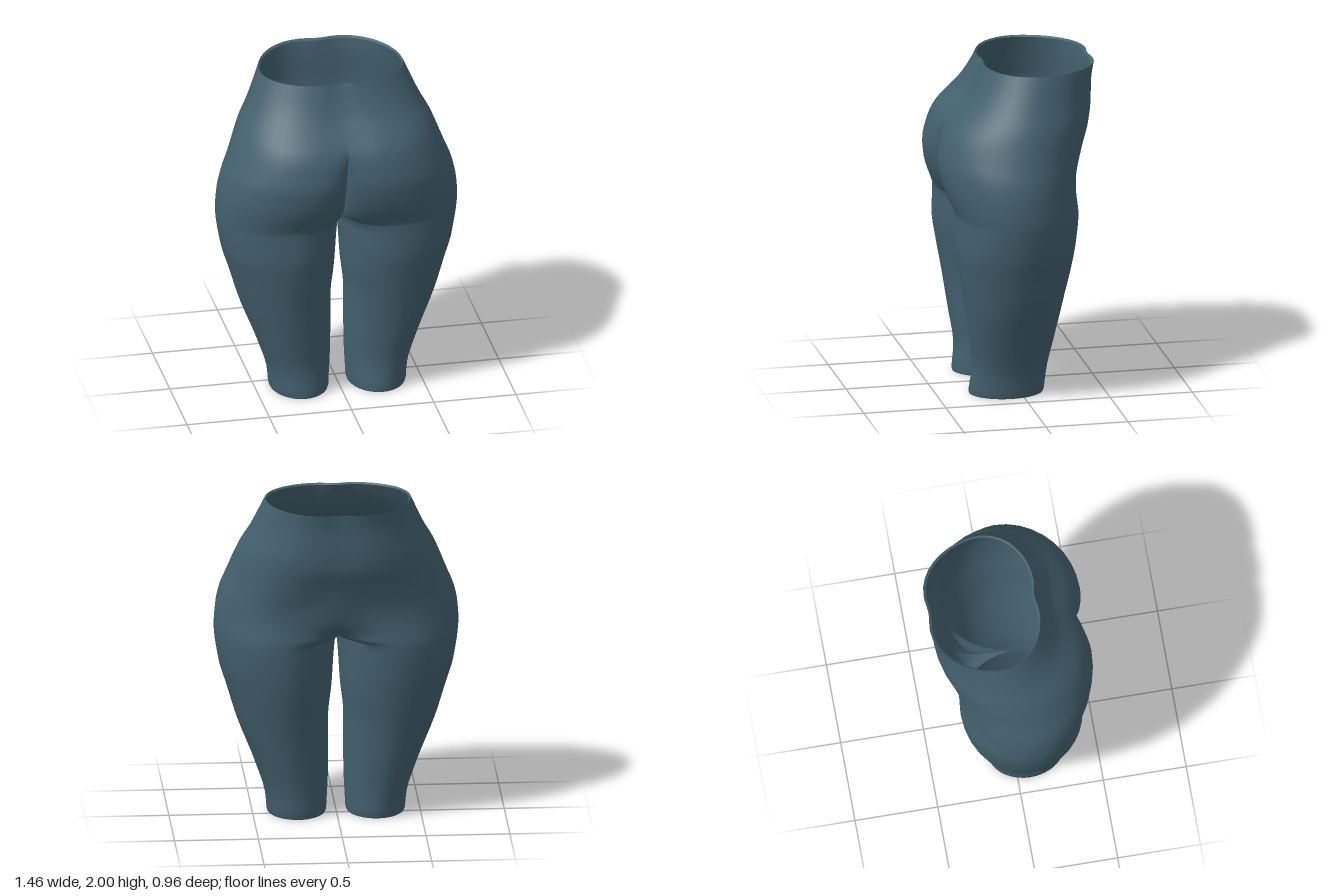
import * as THREE from 'three';
import { mergeVertices, toCreasedNormals } from 'three/addons/utils/BufferGeometryUtils.js';

const { lerp, smoothstep } = THREE.MathUtils;
const CROTCH = 1.13;
const SEG = 9; // segments per quarter of a half section

// Smooth curve through [height, value] keys without overshoot
function profile(keys) {
  const n = keys.length;
  const slope = (i) => (keys[i + 1][1] - keys[i][1]) / (keys[i + 1][0] - keys[i][0]);
  const tangent = (i) => {
    if (i === 0) return slope(0);
    if (i === n - 1) return slope(n - 2);
    const a = slope(i - 1), b = slope(i);
    return a * b <= 0 ? 0 : (2 * a * b) / (a + b);
  };
  return (y) => {
    let i = 0;
    while (i < n - 2 && y > keys[i + 1][0]) i++;
    const h = keys[i + 1][0] - keys[i][0];
    const t = Math.min(1, Math.max(0, (y - keys[i][0]) / h));
    const t2 = t * t, t3 = t2 * t;
    return (2 * t3 - 3 * t2 + 1) * keys[i][1] + (t3 - 2 * t2 + t) * h * tangent(i)
      + (3 * t2 - 2 * t3) * keys[i + 1][1] + (t3 - t2) * h * tangent(i + 1);
  };
}

// Outlines of one half of the body, by height
const outerX = profile([[0, 0.412], [0.1, 0.42], [0.3, 0.48], [0.6, 0.595], [0.8, 0.655], [0.95, 0.7],
  [1.18, 0.73], [1.3, 0.722], [1.4, 0.7], [1.5, 0.66], [1.7, 0.58], [1.8, 0.525], [2, 0.435]]);
const innerX = profile([[0, 0.058], [0.3, 0.045], [0.6, 0.045], [0.8, 0.025], [1, 0.012], [CROTCH, 0]]);
const frontZ = profile([[0, 0.305], [0.17, 0.287], [0.35, 0.31], [0.6, 0.345], [0.8, 0.38], [0.95, 0.4],
  [1.13, 0.396], [1.18, 0.412], [1.25, 0.442], [1.35, 0.47], [1.44, 0.48], [1.55, 0.46], [1.65, 0.42],
  [1.73, 0.35], [1.8, 0.285], [1.9, 0.225], [2, 0.183]]);
const backZ = profile([[0, -0.148], [0.17, -0.165], [0.35, -0.2], [0.6, -0.25], [0.8, -0.295], [0.95, -0.32],
  [1.12, -0.335], [1.27, -0.325], [1.35, -0.332], [1.5, -0.382], [1.65, -0.441], [1.75, -0.455], [1.9, -0.462], [2, -0.48]]);
const middleZ = profile([[0, 0.075], [CROTCH, 0.05], [1.4, 0.045], [1.7, -0.02], [2, -0.1]]);
const innerZ = profile([[0, 0.075], [CROTCH, 0.08]]);
const frontPeakX = profile([[0, 0.235], [0.6, 0.32], [CROTCH, 0.32], [1.25, 0.26], [1.4, 0.21], [1.7, 0.19], [2, 0.1]]);
const backPeakX = profile([[0, 0.235], [0.6, 0.32], [CROTCH, 0.33], [1.35, 0.27], [1.5, 0.18], [1.65, 0.11], [2, 0.11]]);
// Centre line, front and back, above the crotch
const creaseZ = profile([[CROTCH, 0.08], [1.15, 0.17], [1.18, 0.23], [1.25, 0.285], [1.35, 0.33], [1.5, 0.38],
  [1.62, 0.41], [1.7, 0.368], [1.8, 0.275], [1.9, 0.217], [2, 0.17]]);
const bellyZ = profile([[CROTCH, 0.08], [1.15, -0.12], [1.18, -0.22], [1.22, -0.292], [1.27, -0.323], [1.34, -0.344],
  [1.5, -0.39], [1.65, -0.443], [1.75, -0.453], [1.9, -0.46], [2, -0.47]]);

// Half section from front centre, round the hip, to back centre; inset thins it for the rims
function section(y, inset) {
  const joined = y >= CROTCH;
  const mz = middleZ(y);
  const xo = outerX(y) - inset;
  const xi = joined ? 0 : innerX(y) + inset;
  // soft: how gently a side crosses the centre line; taper: how flat its flank is
  const front = { x: frontPeakX(y), z: frontZ(y) - inset, c: joined ? creaseZ(y) - inset : innerZ(y),
    soft: smoothstep(y, 1.56, 1.72), taper: 1 };
  const back = { x: backPeakX(y), z: backZ(y) + inset, c: joined ? bellyZ(y) + inset : innerZ(y),
    soft: smoothstep(y, 1.15, 1.27), taper: 1 + 0.1 * smoothstep(y, 0.9, 1.3) };
  const inner = (s, a) => {
    const along = 1 - Math.sin(a);
    const rise = lerp(Math.cos(a), smoothstep(along, 0, 1), s.soft);
    return [xi + (s.x - xi) * along, s.c + (s.z - s.c) * rise];
  };
  const outer = (s, a) => [s.x + (xo - s.x) * Math.sin(a),
    mz + (s.z - mz) * Math.pow(Math.max(0, Math.cos(a)), s.taper)];
  const points = [];
  for (let i = 0; i <= 4 * SEG; i++) {
    const q = Math.min(3, Math.floor(i / SEG));
    const a = ((i - q * SEG) / SEG) * Math.PI / 2;
    const rest = Math.PI / 2 - a;
    points.push([inner(front, rest), outer(front, a), outer(back, rest), inner(back, a)][q]);
  }
  return points;
}

// Loft of both halves, each row given as [height, inset]
function loft(rows) {
  const positions = [], index = [];
  const width = 4 * SEG + 1;
  for (const side of [1, -1]) {
    const base = positions.length / 3;
    for (const [y, inset] of rows) {
      for (const [x, z] of section(y, inset)) positions.push(side * x, y, z);
    }
    for (let j = 0; j < rows.length - 1; j++) {
      for (let i = 0; i < width - 1; i++) {
        const a = base + j * width + i, b = a + 1, c = a + width, d = c + 1;
        if (side > 0) index.push(a, b, d, a, d, c);
        else index.push(a, d, b, a, c, d);
      }
    }
  }
  const geometry = new THREE.BufferGeometry();
  geometry.setAttribute('position', new THREE.Float32BufferAttribute(positions, 3));
  geometry.setIndex(index);
  return toCreasedNormals(mergeVertices(geometry, 1e-4), 0.9);
}

export function createModel() {
  const model = new THREE.Group();
  model.name = 'lowerBodyForm';
  const slate = new THREE.MeshStandardMaterial({ color: 0x42606d, side: THREE.DoubleSide });
  slate.name = 'slateBlue';

  // Hollow shell: turned-in leg hems, legs, hips, turned-in waist rim
  const rows = [[0.015, 0.015], [0, 0.004]];
  for (let i = 0; i <= 22; i++) rows.push([0.015 + (CROTCH - 0.015) * (i / 22), 0]);
  for (const y of [1.136, 1.143, 1.15, 1.16, 1.17, 1.18, 1.2, 1.22]) rows.push([y, 0]);
  for (let y = 1.25; y < 1.99; y += 0.035) rows.push([y, 0]);
  rows.push([2, 0], [1.99, 0.015]);

  const shell = new THREE.Mesh(loft(rows), slate);
  shell.name = 'hipsAndLegsShell';
  model.add(shell);
  return model;
}
